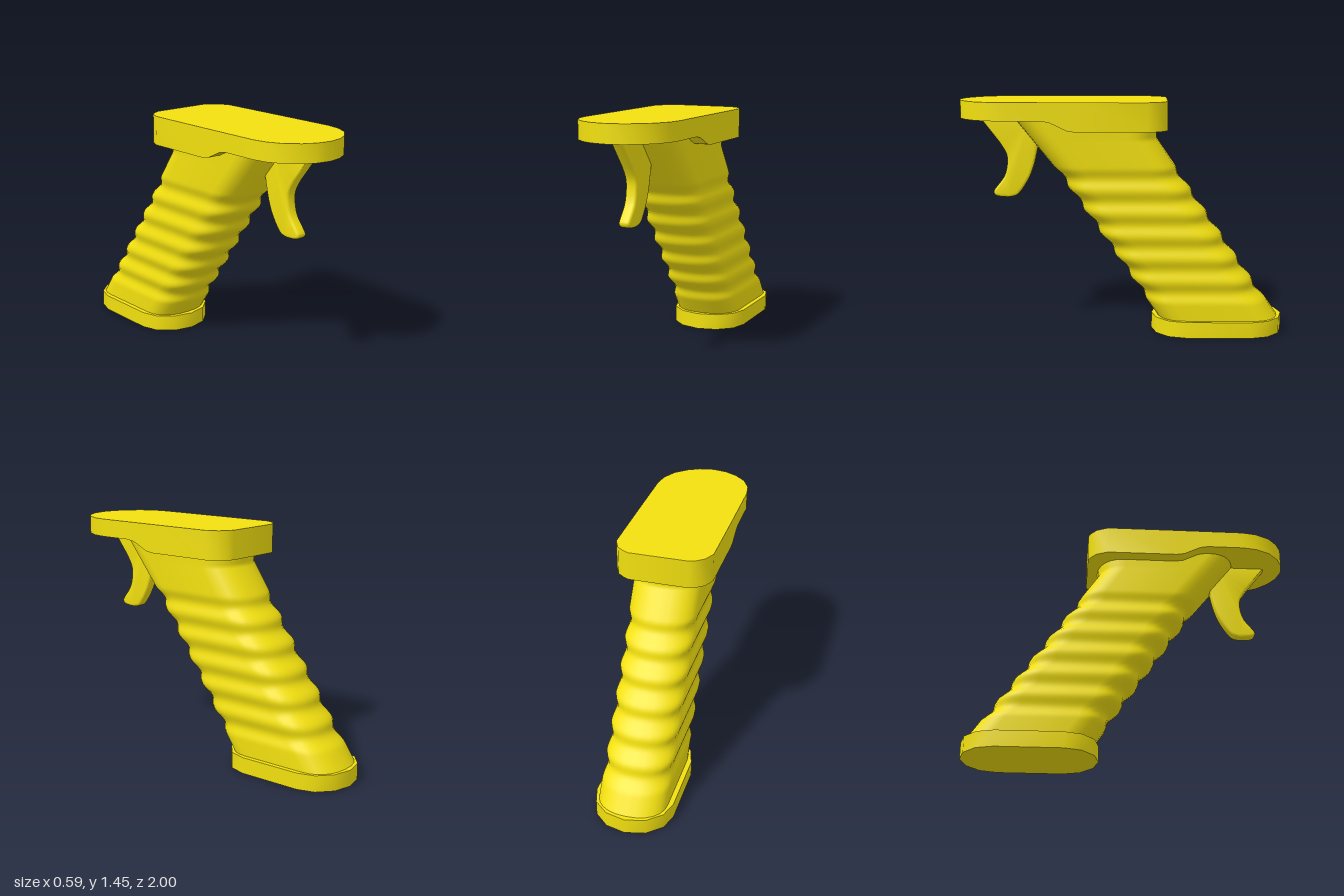
import * as THREE from 'three';
import { toCreasedNormals } from 'three/addons/utils/BufferGeometryUtils.js';

const material = new THREE.MeshStandardMaterial({ color: 0xf2e00f });

// Skin a row of closed rings ([x, y, z] points) and cap both ends.
function loft(rings, crease) {
  const n = rings[0].length;
  const pos = rings.flat(2);
  const index = [];
  for (let i = 0; i < rings.length - 1; i++) {
    for (let j = 0; j < n; j++) {
      const a = i * n + j, b = i * n + (j + 1) % n;
      index.push(a, b, b + n, a, b + n, a + n);
    }
  }
  const last = (rings.length - 1) * n;
  for (let j = 1; j < n - 1; j++) {
    index.push(0, j + 1, j, last, last + j, last + j + 1);
  }
  const geo = new THREE.BufferGeometry();
  geo.setAttribute('position', new THREE.Float32BufferAttribute(pos, 3));
  geo.setIndex(index);
  return toCreasedNormals(geo, crease);
}

// Horizontal ring with straight sides and rounded front and back ends.
function roundedRing(y, halfWidth, front, back, depth, steps, power = 1) {
  const ring = [];
  for (const end of [-1, 1]) {
    const base = end < 0 ? back + depth : front - depth;
    for (let k = 0; k <= 2 * steps; k++) {
      const a = (k / (2 * steps)) * Math.PI;
      const c = Math.cos(a), s = Math.sin(a);
      const x = -end * Math.sign(c) * Math.abs(c) ** power * halfWidth;
      ring.push([x, y, base + end * Math.max(s, 0) ** power * depth]);
    }
  }
  return ring;
}

function addMesh(group, name, geometry) {
  const mesh = new THREE.Mesh(geometry, material);
  mesh.name = name;
  group.add(mesh);
}

export function createModel() {
  const group = new THREE.Group();
  group.name = 'pistolGrip';

  // Top plate: [z, half width, underside height], stepping down at the back
  const stations = [
    [-0.27, 0.18, 1.275], [-0.255, 0.215, 1.275], [-0.22, 0.26, 1.275], [-0.15, 0.293, 1.275],
    [0.28, 0.295, 1.275], [0.33, 0.295, 1.283], [0.38, 0.295, 1.307],
    [0.43, 0.295, 1.331], [0.48, 0.295, 1.34], [0.7, 0.295, 1.34],
    [0.79, 0.28, 1.34], [0.88, 0.235, 1.34], [0.945, 0.165, 1.34],
    [0.985, 0.09, 1.34], [1.0, 0.01, 1.34],
  ];
  addMesh(group, 'topPlate', loft(stations.map(([z, w, low]) =>
    [[w, low, z], [w, 1.45, z], [-w, 1.45, z], [-w, low, z]]), 0.62));

  // Slanted handle with six finger grooves
  const rings = [];
  const grooveLow = 0.2, grooveHigh = 1.05, grooves = 6;
  const rows = 100;
  for (let i = 0; i <= rows; i++) {
    const y = 0.08 + (1.36 - 0.08) * i / rows;
    const t = (y - grooveLow) / (grooveHigh - grooveLow);
    const dip = t > 0 && t < 1 ? 0.5 - 0.5 * Math.cos(t * grooves * Math.PI * 2) : 0;
    const lean = 0.684 * (y - 0.107);
    const front = -0.21 + lean + Math.max(0, y - grooveHigh) * 0.12 - 0.024 * dip;
    const back = Math.min(-0.205, -0.965 + lean) + 0.024 * dip;
    rings.push(roundedRing(y, 0.21 - 0.015 * dip, front, back, 0.17, 6, 0.88));
  }
  addMesh(group, 'handle', loft(rings, 1.1));

  // Base cap
  addMesh(group, 'baseCap', loft([0, 0.1].map((y) =>
    roundedRing(y, 0.24, -0.18, -1.0, 0.21, 3)), 0.65));

  // Curved finger hook, drawn in z and y, then turned to face forward
  const hook = new THREE.Shape();
  hook.moveTo(0.895, 1.36);
  hook.lineTo(0.76, 1.185);
  hook.splineThru([[0.722, 1.12], [0.715, 1.06], [0.735, 0.975], [0.795, 0.895],
    [0.803, 0.87], [0.785, 0.852], [0.74, 0.845], [0.69, 0.847], [0.645, 0.87],
    [0.585, 0.96], [0.55, 1.05], [0.525, 1.16]].map(([z, y]) => new THREE.Vector2(z, y)));
  hook.lineTo(0.48, 1.2);
  hook.lineTo(0.56, 1.36);
  hook.closePath();
  const hookGeo = new THREE.ExtrudeGeometry(hook, {
    depth: 0.04, curveSegments: 3, bevelThickness: 0.015, bevelSize: 0.015,
    bevelOffset: -0.015, bevelSegments: 3,
  });
  hookGeo.translate(0, 0, -0.02).rotateY(-Math.PI / 2);
  addMesh(group, 'fingerHook', toCreasedNormals(hookGeo, 0.7));

  return group;
}
